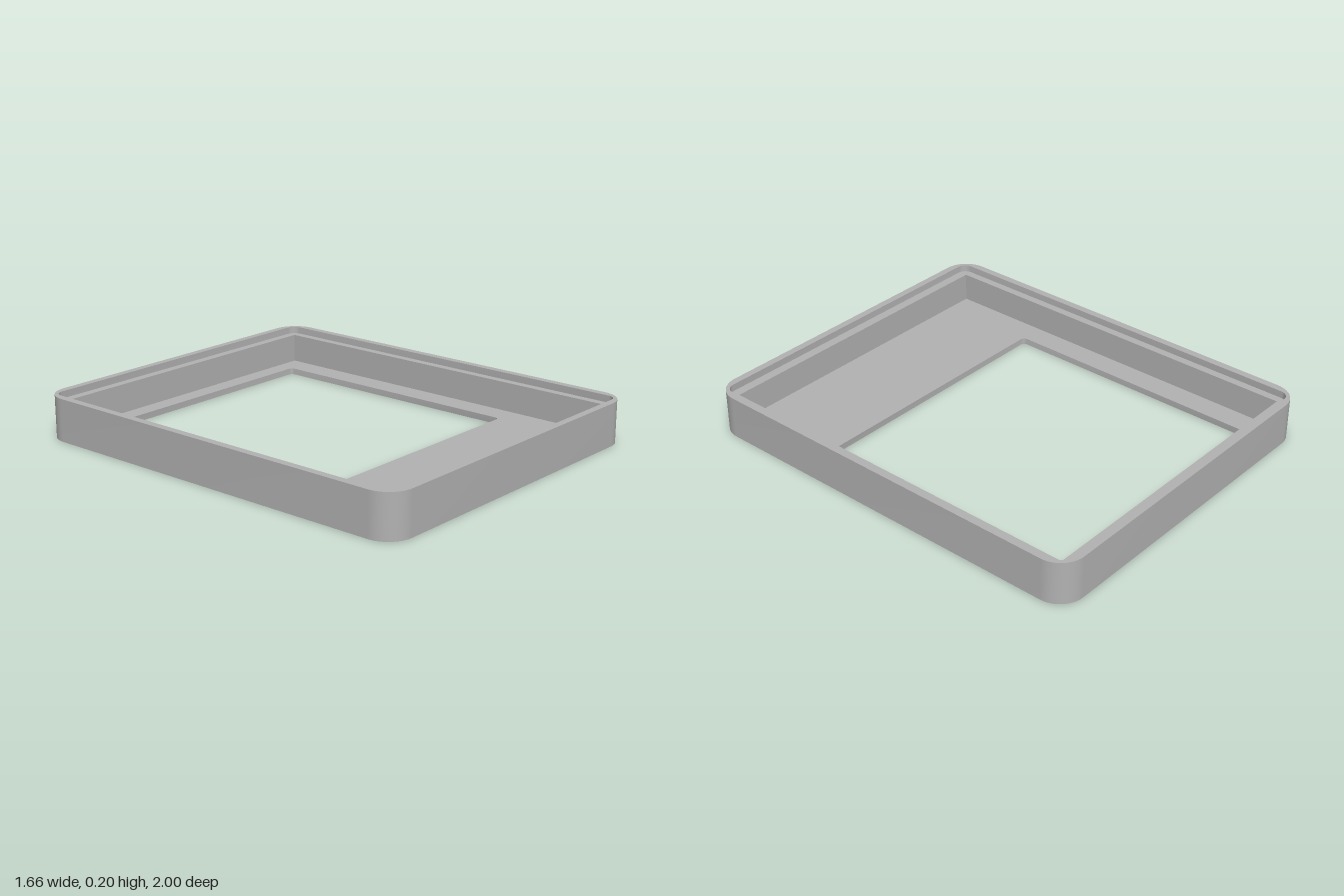
import * as THREE from 'three';
import { toCreasedNormals } from 'three/addons/utils/BufferGeometryUtils.js';

const FLOOR = 0.03, LEDGE = 0.167, TOP = 0.2;

// Rounded rectangle, anticlockwise seen from above; each point is (x, -z)
function outline(halfW, zBack, zFront, r, steps = 10) {
  const corners = [
    [halfW - r, -zBack - r], [-halfW + r, -zBack - r],
    [-halfW + r, -zFront + r], [halfW - r, -zFront + r],
  ];
  const points = [];
  corners.forEach(([cx, cy], i) => {
    const n = r > 0 ? steps : 0;
    for (let k = 0; k <= n; k++) {
      const a = (i + (n ? k / n : 0)) * Math.PI / 2;
      points.push(new THREE.Vector2(cx + r * Math.cos(a), cy + r * Math.sin(a)));
    }
  });
  return points;
}

// Vertical band following an outline
function band(points, y0, y1, inward) {
  const loop = inward ? [...points].reverse() : points;
  const pos = [];
  loop.forEach((a, i) => {
    const b = loop[(i + 1) % loop.length];
    pos.push(a.x, y0, -a.y, b.x, y0, -b.y, b.x, y1, -b.y);
    pos.push(a.x, y0, -a.y, b.x, y1, -b.y, a.x, y1, -a.y);
  });
  const g = new THREE.BufferGeometry();
  g.setAttribute('position', new THREE.Float32BufferAttribute(pos, 3));
  return toCreasedNormals(g, Math.PI / 6);
}

// Horizontal face between two outlines
function ring(outer, inner, y, down) {
  const shape = new THREE.Shape(outer);
  shape.holes.push(new THREE.Path(inner));
  const g = new THREE.ShapeGeometry(shape);
  g.rotateX(-Math.PI / 2).translate(0, y, 0);
  if (down) {
    g.index.array.reverse();
    g.computeVertexNormals();
  }
  return g;
}

export function createModel() {
  const model = new THREE.Group();
  model.name = 'frameCover';
  const grey = new THREE.MeshStandardMaterial({ color: 0xb2b2b2 });
  grey.name = 'grey';

  const outer = outline(0.83, -1, 1, 0.12, 16);
  const lip = outline(0.795, -0.966, 0.966, 0.045);
  const cavity = outline(0.757, -0.926, 0.922, 0);
  const opening = outline(0.643, -0.843, 0.443, 0.022, 6);

  const parts = {
    // outside shell
    outerWall: band(outer, 0, TOP, false),
    underside: ring(outer, opening, 0, true),
    rim: ring(outer, lip, TOP, false),
    // stepped lip
    lipWall: band(lip, LEDGE, TOP, true),
    ledge: ring(lip, cavity, LEDGE, false),
    // recess and window
    cavityWall: band(cavity, FLOOR, LEDGE, true),
    floor: ring(cavity, opening, FLOOR, false),
    windowEdge: band(opening, 0, FLOOR, true),
  };
  for (const [name, geometry] of Object.entries(parts)) {
    const mesh = new THREE.Mesh(geometry, grey);
    mesh.name = name;
    model.add(mesh);
  }
  return model;
}
